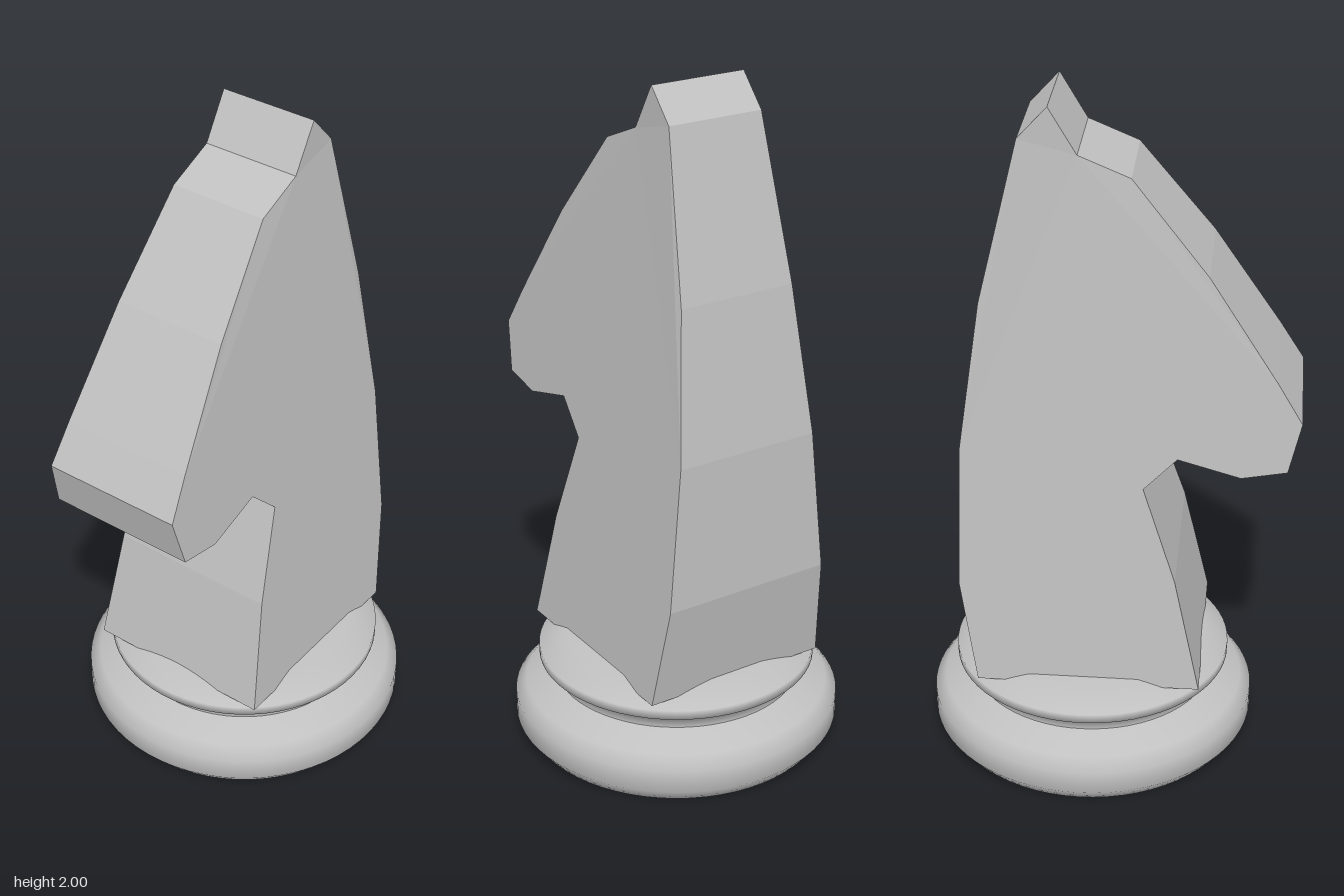
import * as THREE from 'three';

export function createModel() {
  const group = new THREE.Group();
  const grey = new THREE.MeshStandardMaterial({ color: 0xc0c0c0 });
  grey.name = 'pieceGrey';
  const greyFaceted = grey.clone();
  greyFaceted.flatShading = true;

  const baseZ = -0.06;
  const addRing = (name, profile) => {
    const points = profile.map(([r, y]) => new THREE.Vector2(r, y));
    const mesh = new THREE.Mesh(new THREE.LatheGeometry(points, 64), grey);
    mesh.name = name;
    mesh.position.z = baseZ;
    group.add(mesh);
  };

  // Round foot, and the collar above it
  addRing('foot', [[0, 0], [0.447, 0], [0.483, 0.045], [0.483, 0.115], [0.45, 0.15], [0.366, 0.186]]);
  addRing('collar', [[0.366, 0.186], [0.366, 0.212], [0.41, 0.24], [0.41, 0.268], [0.326, 0.313], [0, 0.315]]);

  // Horse head and neck: side outline as [z, y], running counter-clockwise
  const outline = [
    [-0.37, 0.29], [0.276, 0.29], [0.2, 0.635], [0.106, 0.92], [0.2, 1.015],
    [0.377, 0.967], [0.505, 0.99], [0.54, 1.135], [0.47, 1.25], [0.276, 1.545],
    [0.063, 1.81], [-0.08, 1.87], [-0.157, 2.0], [-0.24, 1.91], [-0.35, 1.45],
    [-0.41, 1.02], [-0.42, 0.6],
  ];
  const shape = new THREE.Shape(outline.map(([z, y]) => new THREE.Vector2(z, y)));
  const head = new THREE.ExtrudeGeometry(shape, { depth: 2, bevelEnabled: false });
  head.translate(0, 0, -1).rotateY(-Math.PI / 2);

  // Taper the thickness from the wide shoulders to the ears
  const pos = head.attributes.position;
  for (let i = 0; i < pos.count; i++) {
    const t = Math.min(1, (pos.getY(i) - 0.29) / (1.81 - 0.29));
    pos.setX(i, pos.getX(i) * THREE.MathUtils.lerp(0.287, 0.146, t));
  }
  head.computeVertexNormals();
  const headMesh = new THREE.Mesh(head, greyFaceted);
  headMesh.name = 'horseHead';
  group.add(headMesh);

  return group;
}
